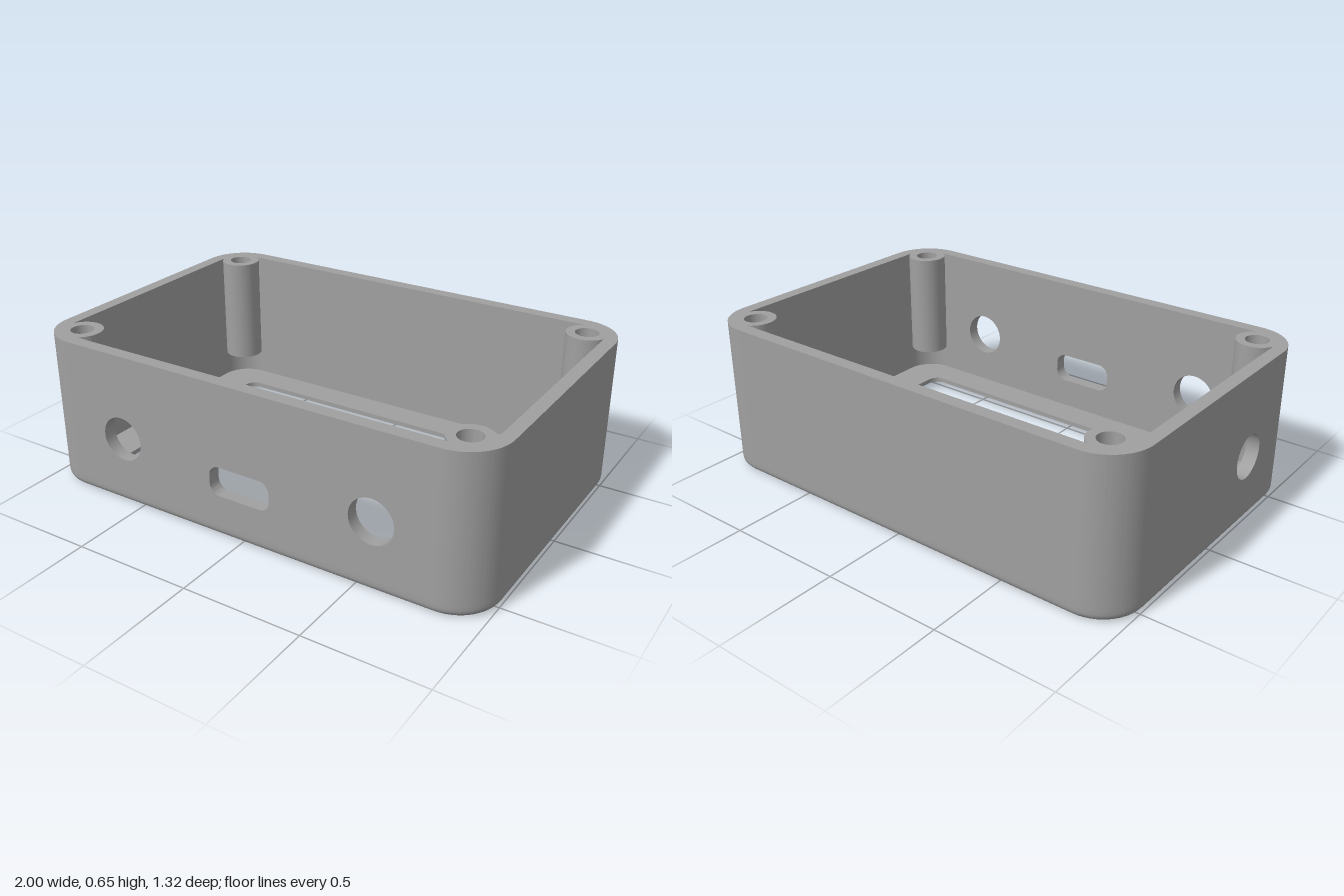
import * as THREE from 'three';
import { toCreasedNormals } from 'three/addons/utils/BufferGeometryUtils.js';

const HX = 1, HZ = 0.66, R = 0.18;          // outer half sizes and corner radius
const WALL = 0.055, FLOOR = 0.055, TOP = 0.65;
const CX = HX - R, CZ = HZ - R;             // corner arc centres

// Rounded rectangle loop at height y, counter-clockwise from above
function loop([hx, hz, r, y], steps = 12) {
  const pts = [];
  [[1, 1], [-1, 1], [-1, -1], [1, -1]].forEach(([sx, sz], q) => {
    for (let i = 0; i <= steps; i++) {
      const a = (q + i / steps) * Math.PI / 2;
      pts.push([sx * (hx - r) + r * Math.cos(a), y, -sz * (hz - r) - r * Math.sin(a)]);
    }
  });
  return pts;
}

// Closed ring swept through a list of rounded rectangles
function loftRing(sections) {
  const loops = sections.map((s) => loop(s));
  const n = loops[0].length, pos = [];
  loops.forEach((a, s) => {
    const b = loops[(s + 1) % loops.length];
    for (let i = 0; i < n; i++) {
      const j = (i + 1) % n;
      pos.push(...a[i], ...b[i], ...a[j], ...a[j], ...b[i], ...b[j]);
    }
  });
  const g = new THREE.BufferGeometry();
  g.setAttribute('position', new THREE.Float32BufferAttribute(pos, 3));
  return toCreasedNormals(g, Math.PI / 6);
}

function roundHole(x, y, r) {
  return new THREE.Path().absarc(x, y, r, 0, Math.PI * 2, true);
}

function slotHole(x, y, hw, hh, r) {
  const p = new THREE.Path();
  p.absarc(x + hw - r, y + hh - r, r, 0, Math.PI / 2);
  p.absarc(x - hw + r, y + hh - r, r, Math.PI / 2, Math.PI);
  p.absarc(x - hw + r, y - hh + r, r, Math.PI, Math.PI * 1.5);
  p.absarc(x + hw - r, y - hh + r, r, Math.PI * 1.5, Math.PI * 2);
  p.closePath();
  return p;
}

function extrude(shape, depth) {
  const g = new THREE.ExtrudeGeometry(shape, { depth, bevelEnabled: false, curveSegments: 24 });
  return toCreasedNormals(g, Math.PI / 6);
}

// Flat wall facing +z with its outer face at z = dist
function wallPanel(half, dist, holes = []) {
  const s = new THREE.Shape([
    new THREE.Vector2(-half, FLOOR), new THREE.Vector2(half, FLOOR),
    new THREE.Vector2(half, TOP), new THREE.Vector2(-half, TOP),
  ]);
  s.holes.push(...holes);
  return extrude(s, WALL).translate(0, 0, dist - WALL);
}

export function createModel() {
  const model = new THREE.Group();
  model.name = 'enclosure';
  const grey = new THREE.MeshStandardMaterial({ color: 0xa0a0a0 });
  grey.name = 'grey plastic';
  const add = (name, geo, rotY = 0) => {
    const m = new THREE.Mesh(geo, grey);
    m.name = name;
    m.rotation.y = rotY;
    model.add(m);
    return m;
  };

  // Floor frame: filleted outer edge, recess underneath, window opening
  const F = 0.035, sections = [[HX, HZ, R, FLOOR]];
  for (let i = 0; i <= 6; i++) {
    const a = (i / 6) * Math.PI / 2, inset = F * (1 - Math.cos(a));
    sections.push([HX - inset, HZ - inset, R - inset, F * (1 - Math.sin(a))]);
  }
  sections.push([0.85, 0.545, 0.11, 0], [0.85, 0.545, 0.11, 0.035],
    [0.78, 0.475, 0.045, 0.035], [0.78, 0.475, 0.045, FLOOR]);
  add('floorFrame', loftRing(sections));

  // Walls with port openings
  add('frontWall', wallPanel(CX, HZ, [
    roundHole(-0.57, 0.29, 0.093), roundHole(0.57, 0.29, 0.093),
    slotHole(0, 0.243, 0.137, 0.062, 0.045),
  ]));
  add('backWall', wallPanel(CX, HZ), Math.PI);
  add('leftWall', wallPanel(CZ, HX), Math.PI / 2);
  add('rightWall', wallPanel(CZ, HX, [roundHole(0.257, 0.29, 0.093)]), -Math.PI / 2);

  // Rounded wall corners
  const arc = new THREE.Shape();
  arc.absarc(0, 0, R, 0, Math.PI / 2, false);
  arc.absarc(0, 0, R - WALL, Math.PI / 2, 0, true);
  const cornerGeo = extrude(arc, TOP - FLOOR).rotateX(-Math.PI / 2);

  // Screw posts: hanging in the corners, closed below, blind hole from the top
  const postProfile = [[0, 0.18], [0.085, 0.18], [0.085, TOP], [0.048, TOP], [0.048, 0.27], [0, 0.27]]
    .map(([x, y]) => new THREE.Vector2(x, y));
  const postGeo = toCreasedNormals(new THREE.LatheGeometry(postProfile, 40), Math.PI / 6);

  [[1, -1], [-1, -1], [-1, 1], [1, 1]].forEach(([sx, sz], i) => {
    add('wallCorner', cornerGeo, i * Math.PI / 2).position.set(sx * CX, FLOOR, sz * CZ);
    add('screwPost', postGeo).position.set(sx * 0.865, 0, sz * 0.53);
  });
  return model;
}
